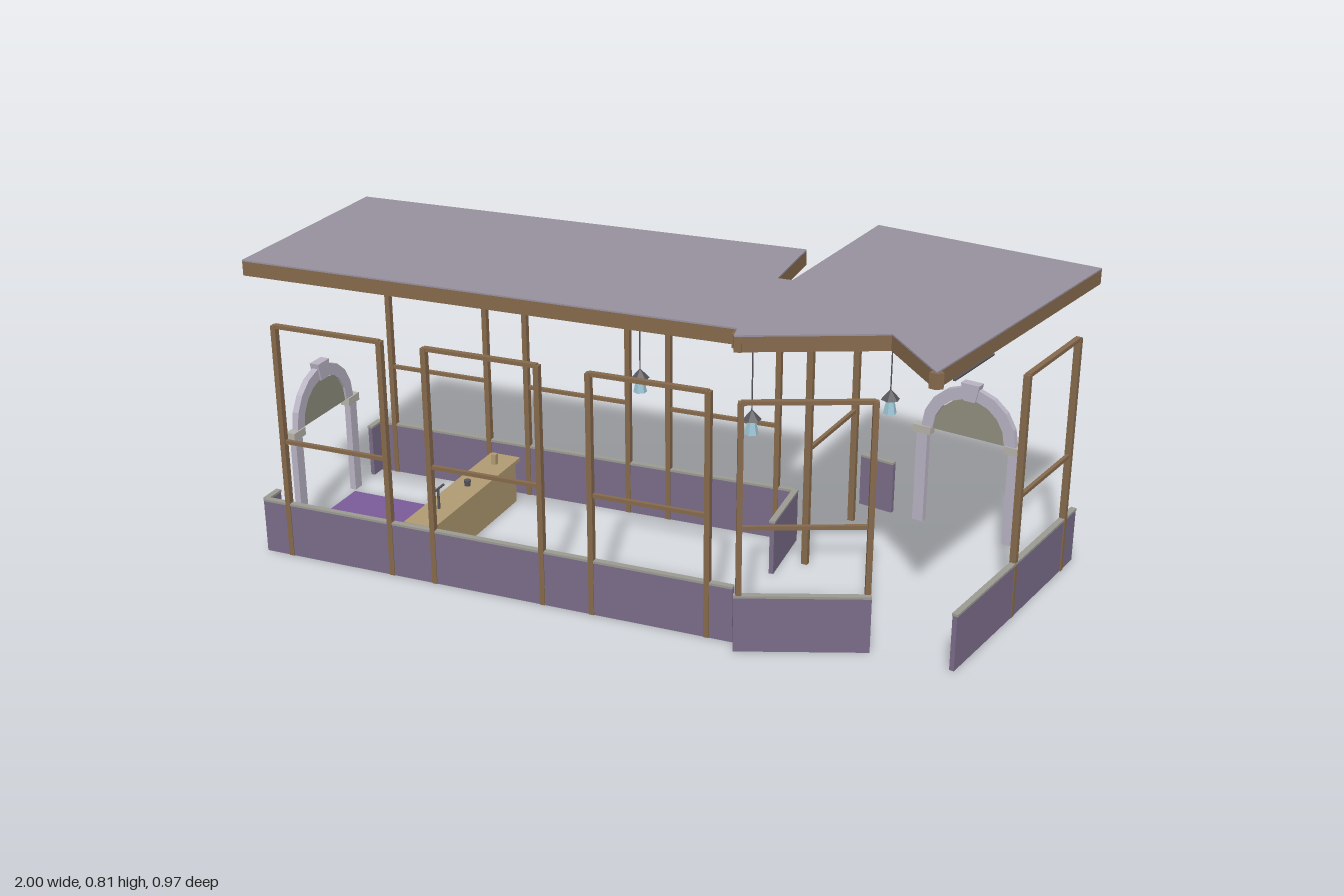
import * as THREE from 'three';

const mat = (color, side = THREE.FrontSide) => new THREE.MeshStandardMaterial({ color, side, flatShading: true });
const M = {
  wall: mat(0x7a6c88), cap: mat(0x9a9a92), wood: mat(0x85694c), roof: mat(0x97919f),
  stone: mat(0xb8b2c2), capital: mat(0xb5b2aa), infill: mat(0x8f8d7c), counter: mat(0xb09a72),
  rug: mat(0x7a5a98), metal: mat(0x55555a), glass: mat(0x9cc4d4, THREE.DoubleSide),
};

function add(parent, name, geo, material, x = 0, y = 0, z = 0) {
  const mesh = new THREE.Mesh(geo, material);
  mesh.name = name;
  mesh.position.set(x, y, z);
  parent.add(mesh);
  return mesh;
}

// Straight bar between two plan points [x, z], from height y0 to y1
function bar(parent, name, a, b, y0, y1, width, material) {
  const dx = b[0] - a[0], dz = b[1] - a[1];
  const geo = new THREE.BoxGeometry(Math.hypot(dx, dz), y1 - y0, width);
  const mesh = add(parent, name, geo, material, (a[0] + b[0]) / 2, (y0 + y1) / 2, (a[1] + b[1]) / 2);
  mesh.rotation.y = -Math.atan2(dz, dx);
}

// Low wall with a thin coping
function parapet(parent, a, b) {
  bar(parent, 'lowWall', a, b, 0, 0.145, 0.012, M.wall);
  bar(parent, 'wallCoping', a, b, 0.145, 0.151, 0.016, M.cap);
}

// Timber frame: two posts, top bar and middle rail
function frame(parent, a, b) {
  const g = new THREE.Group();
  g.name = 'windowFrame';
  const dx = b[0] - a[0], dz = b[1] - a[1];
  for (const p of [a, b]) {
    const post = add(g, 'post', new THREE.BoxGeometry(0.014, 0.645, 0.017), M.wood, p[0], 0.3225, p[1]);
    post.rotation.y = -Math.atan2(dz, dx);
  }
  bar(g, 'topBar', a, b, 0.638, 0.648, 0.014, M.wood);
  bar(g, 'middleRail', a, b, 0.321, 0.331, 0.01, M.wood);
  parent.add(g);
}

// Stone doorway arch with filled head and keystone
function arch(x, z, turn) {
  const g = new THREE.Group();
  g.name = 'archway';
  for (const s of [-1, 1]) {
    add(g, 'archPillar', new THREE.BoxGeometry(0.032, 0.264, 0.018), M.stone, s * 0.135, 0.132, 0);
    add(g, 'archCapital', new THREE.BoxGeometry(0.053, 0.022, 0.026), M.capital, s * 0.135, 0.273, 0);
  }
  const n = 9;
  const arc = (r) => Array.from({ length: n + 1 }, (_, i) =>
    new THREE.Vector2(r * Math.cos(i * Math.PI / n), r * Math.sin(i * Math.PI / n)));
  const solid = (pts, depth) => {
    const geo = new THREE.ExtrudeGeometry(new THREE.Shape(pts), { depth, bevelEnabled: false });
    return geo.translate(0, 0, -depth / 2);
  };
  add(g, 'archRing', solid([...arc(0.138), ...arc(0.105).reverse()], 0.018), M.stone, 0, 0.284, 0);
  add(g, 'archInfill', solid(arc(0.106), 0.006), M.infill, 0, 0.28, 0);
  const key = [[-0.017, 0.385], [0.017, 0.385], [0.027, 0.434], [-0.027, 0.434]];
  add(g, 'keystone', solid(key.map(p => new THREE.Vector2(...p)), 0.027), M.stone);
  g.position.set(x, 0, z);
  g.rotation.y = turn;
  return g;
}

// Hanging lamp on a thin cord
function lamp(x, z) {
  const g = new THREE.Group();
  g.name = 'hangingLamp';
  add(g, 'lampCord', new THREE.CylinderGeometry(0.0018, 0.0018, 0.31, 6), M.metal, 0, 0.645, 0);
  add(g, 'lampHood', new THREE.CylinderGeometry(0.003, 0.025, 0.024, 6), M.metal, 0, 0.482, 0);
  add(g, 'lampGlass', new THREE.CylinderGeometry(0.01, 0.018, 0.038, 6), M.glass, 0, 0.451, 0);
  g.position.set(x, 0, z);
  return g;
}

export function createModel() {
  const model = new THREE.Group();
  model.name = 'pavilion';

  // Flat roof in plan, with edge beams
  const plan = [[-1, -0.19], [0.28, -0.217], [0.29, 0.025], [0.328, 0.025], [0.385, -0.49], [1, -0.36],
    [0.86, 0.28], [0.816, 0.478], [0.66, 0.29], [0.337, 0.437], [0.327, 0.39], [-0.99, 0.415]];
  const roofGeo = new THREE.ExtrudeGeometry(new THREE.Shape(plan.map(p => new THREE.Vector2(...p))),
    { depth: 0.004, bevelEnabled: false });
  roofGeo.rotateX(Math.PI / 2);
  add(model, 'roof', roofGeo, M.roof, 0, 0.81, 0);
  plan.forEach((p, i) => {
    const q = plan[(i + 1) % plan.length];
    const d = Math.hypot(q[0] - p[0], q[1] - p[1]);
    const nx = -(q[1] - p[1]) / d * 0.009, nz = (q[0] - p[0]) / d * 0.009;
    bar(model, 'edgeBeam', [p[0] + nx, p[1] + nz], [q[0] + nx, q[1] + nz], 0.769, 0.806, 0.018, M.wood);
  });

  // Roof joists over the long hall and the end room
  for (const x of [-0.78, -0.5, -0.22, 0.06])
    bar(model, 'crossJoist', [x, -0.19], [x, 0.395], 0.772, 0.806, 0.02, M.wood);
  for (const z of [0.02, 0.21])
    bar(model, 'longJoist', [-0.98, z], [0.3, z], 0.785, 0.806, 0.014, M.wood);
  bar(model, 'junctionBeam', [0.31, 0.02], [0.335, 0.42], 0.772, 0.806, 0.02, M.wood);
  for (const [x0, z, x1] of [[0.31, 0.175, 0.87], [0.31, 0.055, 0.9], [0.36, -0.305, 0.98], [0.66, -0.42, 0.7]])
    bar(model, 'roomJoist', [x0, z], [x1, z], 0.785, 0.806, 0.014, M.wood);
  bar(model, 'roomBeam', [0.68, -0.42], [0.6, 0.31], 0.772, 0.806, 0.02, M.wood);

  // Low walls
  const frontZ = x => 0.392 - 0.018 * x;
  const backZ = x => -0.181 - 0.02 * x;
  parapet(model, [-0.99, frontZ(-0.99)], [0.325, frontZ(0.325)]);
  parapet(model, [-0.99, backZ(-0.99)], [0.275, backZ(0.275)]);
  parapet(model, [-0.987, 0.35], [-0.987, 0.41]);
  parapet(model, [-0.987, -0.165], [-0.987, -0.11]);
  parapet(model, [0.278, -0.19], [0.288, 0.02]);
  parapet(model, [0.34, 0.427], [0.645, 0.305]);
  parapet(model, [0.85, 0.315], [0.913, 0]);
  parapet(model, [0.913, 0], [0.983, -0.365]);
  parapet(model, [0.37, -0.48], [0.47, -0.457]);

  // Timber frames along front, back and room walls
  for (const [a, b] of [[-0.915, -0.612], [-0.488, -0.182], [-0.047, 0.258]])
    frame(model, [a, frontZ(a)], [b, frontZ(b)]);
  for (const [a, b] of [[-0.933, -0.63], [-0.508, -0.203], [-0.085, 0.225]])
    frame(model, [a, backZ(a)], [b, backZ(b)]);
  frame(model, [0.35, 0.42], [0.632, 0.295]);
  frame(model, [0.912, 0], [0.97, -0.295]);
  frame(model, [0.35, -0.07], [0.38, -0.367]);

  // Doorways
  model.add(arch(-0.986, 0.118, Math.PI / 2));
  model.add(arch(0.682, -0.416, -Math.atan(0.21)));

  // Lamps and the hanging rail by the right side
  for (const [x, z] of [[-0.1, -0.025], [0.265, 0.12], [0.54, -0.14]]) model.add(lamp(x, z));
  bar(model, 'hangingRail', [0.825, 0.36], [0.865, 0.17], 0.748, 0.752, 0.006, M.metal);

  // Counter, items on it, and the rug
  add(model, 'counterBody', new THREE.BoxGeometry(0.07, 0.122, 0.46), M.counter, -0.555, 0.063, 0.12);
  add(model, 'counterTop', new THREE.BoxGeometry(0.09, 0.01, 0.48), M.counter, -0.555, 0.128, 0.12);
  add(model, 'tapStem', new THREE.CylinderGeometry(0.003, 0.004, 0.057, 6), M.metal, -0.555, 0.161, 0.255);
  add(model, 'tapBar', new THREE.BoxGeometry(0.005, 0.004, 0.055), M.metal, -0.555, 0.19, 0.253);
  add(model, 'counterJar', new THREE.CylinderGeometry(0.01, 0.008, 0.016, 8), M.metal, -0.555, 0.141, 0.1);
  add(model, 'counterBox', new THREE.BoxGeometry(0.014, 0.03, 0.014), M.counter, -0.555, 0.148, -0.055);
  add(model, 'rug', new THREE.BoxGeometry(0.28, 0.004, 0.2), M.rug, -0.83, 0.002, 0.115);

  return model;
}
